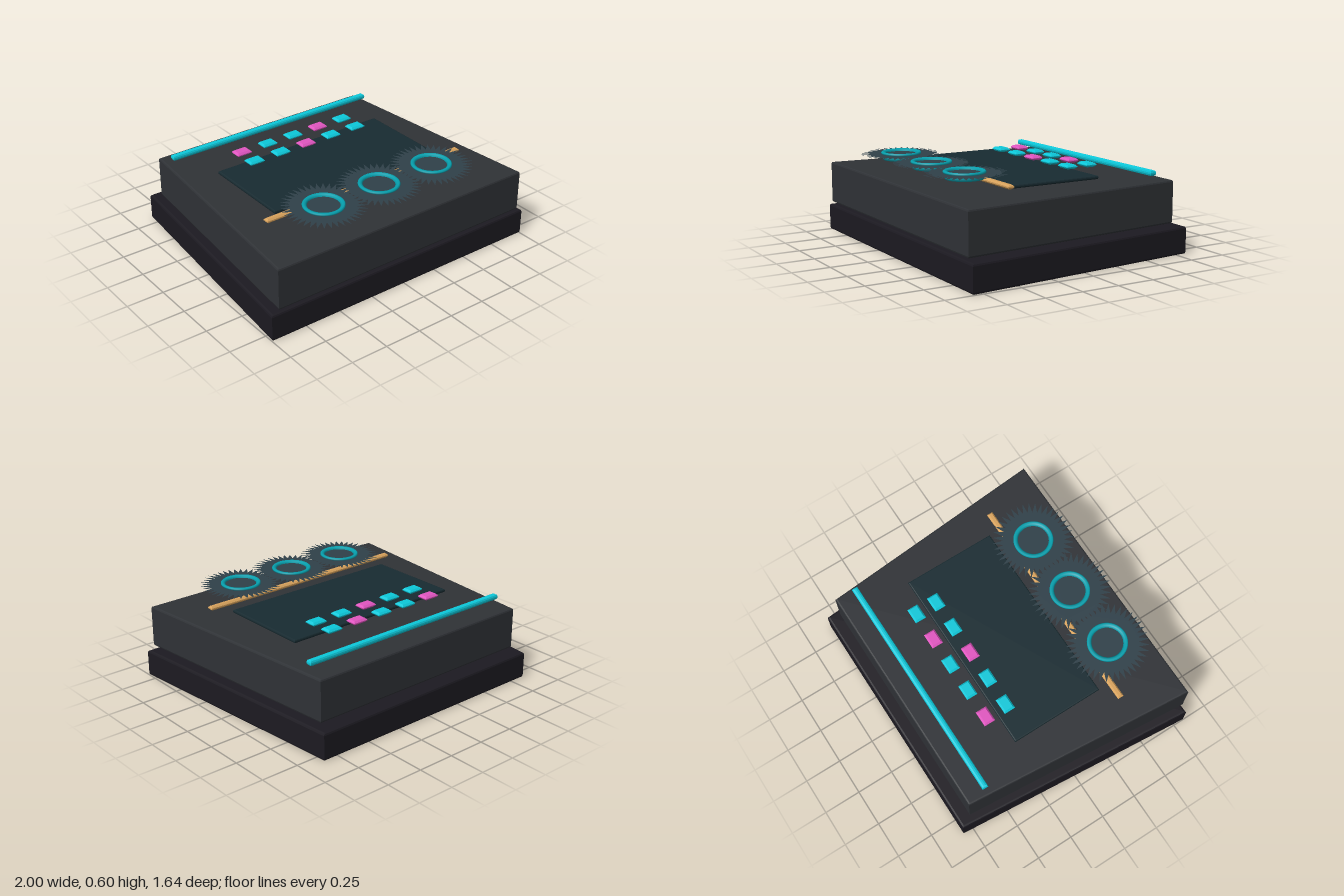
import * as THREE from 'three';

const mat = (color) => new THREE.MeshStandardMaterial({ color, side: THREE.DoubleSide });
const M = {
  base: mat(0x1c1a21), body: mat(0x2f3236), screen: mat(0x182b31), gear: mat(0x2f4049),
  ring: mat(0x06a0ae), cyan: mat(0x0cc8da), pink: mat(0xe055c0), amber: mat(0xd8a25c),
};

// Bevelled slab: half-widths at the front and back edges, z range and y range
function slab(name, material, frontHalf, backHalf, zFront, zBack, y0, y1, bevel, segments = 2) {
  const shape = new THREE.Shape([
    new THREE.Vector2(-frontHalf, -zFront), new THREE.Vector2(frontHalf, -zFront),
    new THREE.Vector2(backHalf, -zBack), new THREE.Vector2(-backHalf, -zBack),
  ]);
  const geo = new THREE.ExtrudeGeometry(shape, {
    depth: y1 - y0 - 2 * bevel, bevelEnabled: true, bevelSize: bevel,
    bevelThickness: bevel, bevelOffset: -bevel, bevelSegments: segments,
  });
  geo.rotateX(-Math.PI / 2).translate(0, y0 + bevel, 0);
  const mesh = new THREE.Mesh(geo, material);
  mesh.name = name;
  return mesh;
}

// Dial: thin spiked disc with a waisted ring around its centre
function dial() {
  const group = new THREE.Group();
  const teeth = 40, points = [];
  for (let i = 0; i < teeth * 2; i++) {
    const a = (i / teeth) * Math.PI;
    const r = i % 2 ? 0.2 : 0.268;
    points.push(new THREE.Vector2(Math.cos(a) * r, Math.sin(a) * r));
  }
  const disc = new THREE.Mesh(new THREE.ShapeGeometry(new THREE.Shape(points)), M.gear);
  disc.name = 'spikedDisc';
  disc.rotation.x = -Math.PI / 2;
  disc.position.y = 0.587;

  const profile = [
    [0.1, 0.55], [0.118, 0.55], [0.127, 0.57], [0.117, 0.58],
    [0.131, 0.588], [0.131, 0.597], [0.124, 0.603], [0.11, 0.6], [0.101, 0.59], [0.1, 0.55],
  ].map(([r, y]) => new THREE.Vector2(r, y));
  const geo = new THREE.LatheGeometry(profile, 40);
  const ring = new THREE.Mesh(geo, M.ring);
  ring.name = 'dialRing';
  group.add(disc, ring);
  return group;
}

export function createModel() {
  const model = new THREE.Group();
  model.name = 'controlConsole';

  // Tapered housing in two tiers
  model.add(slab('base', M.base, 1, 0.855, 0.82, -0.82, 0, 0.18, 0.014));
  model.add(slab('body', M.body, 0.95, 0.812, 0.82, -0.74, 0.2, 0.48, 0.012));

  // Display, trim bar and light bar
  model.add(slab('screen', M.screen, 0.638, 0.638, 0.343, -0.287, 0.5, 0.523, 0.008));
  model.add(slab('trimBar', M.amber, 0.76, 0.76, 0.443, 0.403, 0.524, 0.552, 0.01, 1));
  model.add(slab('lightBar', M.cyan, 0.787, 0.787, -0.582, -0.622, 0.511, 0.549, 0.014));

  // Two rows of buttons, some pink
  [[-0.36, [0, 3]], [-0.212, [2]]].forEach(([z, pinks]) => {
    for (let i = 0; i < 5; i++) {
      const button = slab('button', pinks.includes(i) ? M.pink : M.cyan,
        0.053, 0.053, 0.038, -0.038, 0.543, 0.57, 0.011, 1);
      button.position.set((i - 2) * 0.204, 0, z);
      model.add(button);
    }
  });

  // Three dials along the front
  for (const x of [-0.425, 0, 0.425]) {
    const d = dial();
    d.name = 'dial';
    d.position.set(x, 0, 0.547);
    model.add(d);
  }
  return model;
}
